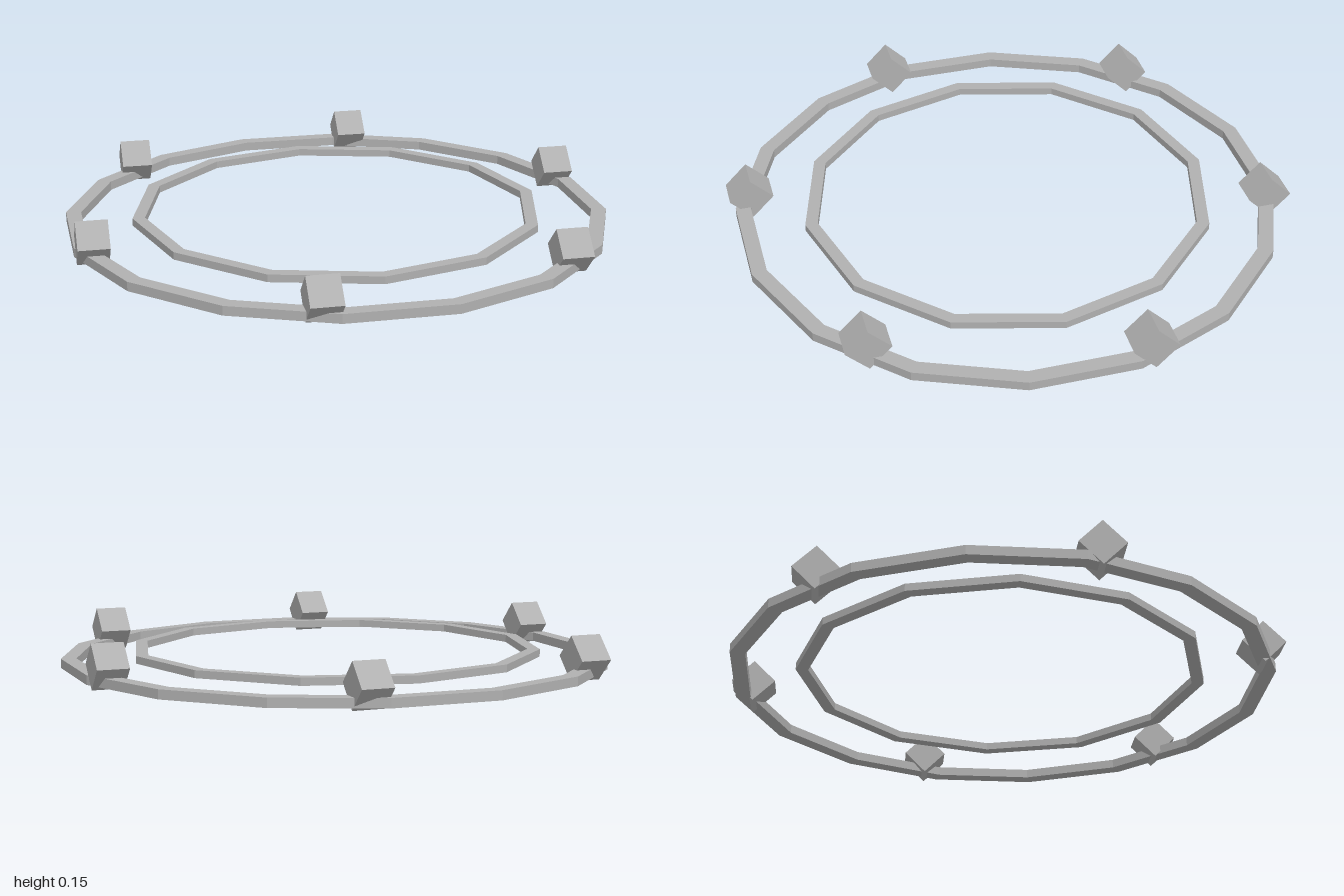
import * as THREE from 'three';

export function createModel() {
  const model = new THREE.Group();
  const grey = new THREE.MeshStandardMaterial({ color: 0xb0b0b0, flatShading: true });
  grey.name = 'plain grey';

  // A ring of straight bars, each lying flat and tangent to the circle
  function barRing(name, count, radius, width, height, y) {
    const ring = new THREE.Group();
    ring.name = name;
    const length = 2 * (radius + width / 2) * Math.tan(Math.PI / count);
    const bar = new THREE.BoxGeometry(length, height, width);
    for (let i = 0; i < count; i++) {
      const a = (i / count) * Math.PI * 2;
      const mesh = new THREE.Mesh(bar, grey);
      mesh.name = name + 'Bar';
      mesh.position.set(Math.sin(a) * radius, y, Math.cos(a) * radius);
      mesh.rotation.y = a;
      ring.add(mesh);
    }
    model.add(ring);
  }
  barRing('outerRing', 16, 0.91, 0.052, 0.032, 0.027);
  barRing('innerRing', 12, 0.675, 0.042, 0.026, 0.054);

  // Six cubes balanced on an edge, all turned the same way
  const size = 0.108;
  const cubeRadius = 1 - size * (1 + Math.SQRT2) / (2 * Math.SQRT2);
  const cube = new THREE.BoxGeometry(size, size, size);
  cube.rotateX(Math.PI / 4).rotateY(Math.PI / 4);
  const cubes = new THREE.Group();
  cubes.name = 'cubes';
  for (let i = 0; i < 6; i++) {
    const a = (i / 6) * Math.PI * 2;
    const mesh = new THREE.Mesh(cube, grey);
    mesh.name = 'cube';
    mesh.position.set(Math.cos(a) * cubeRadius, size / Math.SQRT2, Math.sin(a) * cubeRadius);
    cubes.add(mesh);
  }
  model.add(cubes);
  return model;
}
